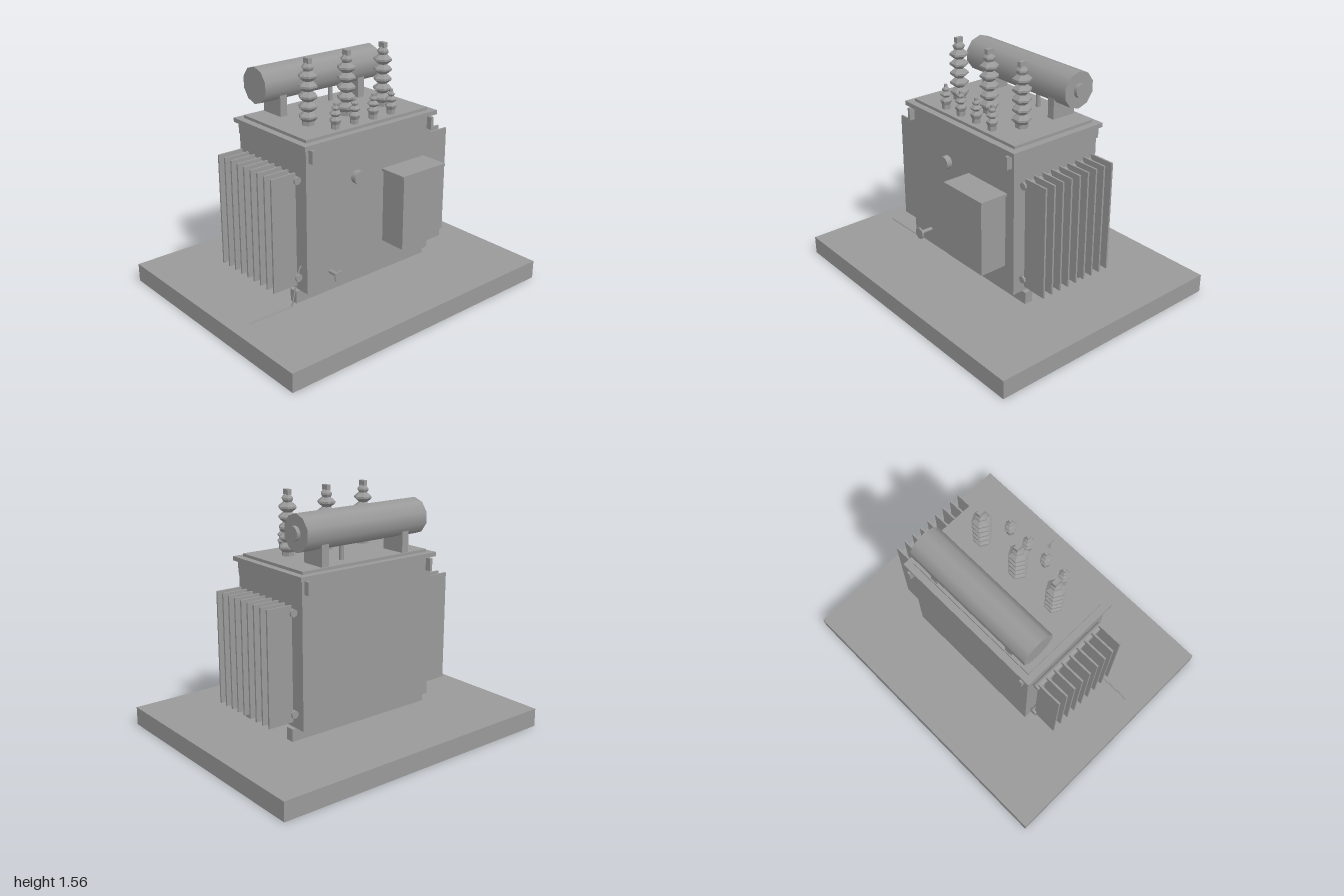
import * as THREE from 'three';

// Power transformer on a plinth with radiators, bushings and a conservator tank
export function createModel() {
  const model = new THREE.Group();
  const grey = new THREE.MeshStandardMaterial({ color: 0x999999 });
  grey.name = 'grey';
  const greyOpen = new THREE.MeshStandardMaterial({ color: 0x999999, side: THREE.DoubleSide });
  greyOpen.name = 'greyOpen';

  function add(name, geometry, x = 0, y = 0, z = 0, material = grey) {
    const mesh = new THREE.Mesh(geometry, material);
    mesh.name = name;
    mesh.position.set(x, y, z);
    model.add(mesh);
    return mesh;
  }
  // Box given by its extents on each axis
  function box(name, x0, x1, y0, y1, z0, z1) {
    const g = new THREE.BoxGeometry(x1 - x0, y1 - y0, z1 - z0);
    return add(name, g, (x0 + x1) / 2, (y0 + y1) / 2, (z0 + z1) / 2);
  }
  // Cylinder lying along x or z, or standing along y
  function rod(name, axis, r, length, x, y, z, sides) {
    const g = new THREE.CylinderGeometry(r, r, length, sides);
    if (axis === 'x') g.rotateY(Math.PI / 2).rotateZ(-Math.PI / 2);
    if (axis === 'z') g.rotateX(Math.PI / 2);
    return add(name, g, x, y, z);
  }
  // Six-sided faceted turning from [radius, height] pairs
  function turned(profile) {
    const points = profile.map(([r, y]) => new THREE.Vector2(r, y));
    const g = new THREE.LatheGeometry(points, 6, Math.PI / 2).toNonIndexed();
    g.computeVertexNormals();
    return g;
  }

  // Hollow plinth: four walls and a top, open underneath
  const slab = new THREE.BoxGeometry(2, 0.12, 1.64);
  const index = Array.from(slab.index.array);
  index.splice(18, 6);
  slab.setIndex(index);
  slab.clearGroups();
  add('plinth', slab, 0, 0.06, 0, greyOpen);

  // Skids, tank and lid
  for (const z of [-0.225, 0.225]) box('skid', -0.53, 0.53, 0.12, 0.2, z - 0.028, z + 0.028);
  box('tank', -0.5, 0.5, 0.2, 1.115, -0.323, 0.323);
  box('lidFlange', -0.525, 0.525, 1.115, 1.142, -0.347, 0.347);
  box('lidPlate', -0.48, 0.48, 1.142, 1.16, -0.303, 0.303);
  for (const sx of [-1, 1]) {
    for (const sz of [-1, 1]) {
      const lug = new THREE.BoxGeometry(0.02, 0.08, 0.04);
      add('liftingLug', lug, sx * 0.472, 1.07, sz * 0.34);
    }
  }

  // Radiators: nine fins and two header pipes on each side
  for (const s of [-1, 1]) {
    for (let i = -4; i <= 4; i++) {
      add('radiatorFin', new THREE.BoxGeometry(0.17, 0.715, 0.012), s * 0.617, 0.61, i * 0.065);
    }
    for (const y of [0.3, 0.92]) rod('radiatorHeader', 'z', 0.024, 0.56, s * 0.525, y, 0, 8);
  }

  // Control cabinet
  box('cabinet', 0.1, 0.425, 0.37, 0.84, 0.32, 0.502);
  box('cabinetRoof', 0.085, 0.44, 0.84, 0.856, 0.32, 0.511);

  // Gauge and drain valve
  rod('gauge', 'z', 0.042, 0.04, -0.12, 0.858, 0.34, 16);
  rod('valvePipe', 'z', 0.013, 0.1, -0.325, 0.298, 0.365, 8);
  rod('valveWheel', 'z', 0.039, 0.01, -0.325, 0.298, 0.415, 14);

  // Conservator with end cap, supports and feed pipe
  rod('conservator', 'x', 0.115, 0.916, -0.002, 1.362, -0.21, 10);
  rod('conservatorCap', 'x', 0.045, 0.025, 0.468, 1.362, -0.21, 10);
  for (const x of [-0.31, 0.31]) box('conservatorSupport', x - 0.025, x + 0.025, 1.16, 1.3, -0.295, -0.125);
  rod('feedPipe', 'y', 0.014, 0.13, 0.115, 1.225, -0.2, 8);

  // Tall bushings with stacked sheds and a terminal
  const tall = [[0, 0], [0.04, 0], [0.04, 0.025]];
  for (let i = 0; i < 5; i++) {
    const y = 0.052 + i * 0.061;
    tall.push([0.059, y - 0.006], [0.059, y + 0.006], [0.028, y + 0.03]);
  }
  tall.push([0.037, 0.342], [0.037, 0.352], [0.016, 0.375], [0, 0.375]);
  const tallBushing = turned(tall);
  for (const x of [-0.295, 0, 0.295]) {
    add('tallBushing', tallBushing, x, 1.16, 0.09);
    box('tallTerminal', x - 0.014, x + 0.014, 1.53, 1.562, 0.066, 0.114);
  }

  // Short bushings
  const shortBushing = turned([
    [0, 0], [0.026, 0], [0.026, 0.028], [0.036, 0.05], [0.036, 0.056], [0.018, 0.074],
    [0.036, 0.09], [0.036, 0.096], [0.016, 0.112], [0.023, 0.122], [0.023, 0.128],
    [0.011, 0.14], [0.011, 0.155], [0, 0.155],
  ]);
  for (const x of [-0.222, -0.075, 0.072, 0.219]) add('shortBushing', shortBushing, x, 1.16, 0.25);

  // Earthing cable from the tank side down to the plinth
  const cable = new THREE.CurvePath();
  const stops = [[-0.5, 0.37], [-0.515, 0.35], [-0.574, 0.121], [-0.88, 0.121]]
    .map(([x, y]) => new THREE.Vector3(x, y, 0.265));
  for (let i = 0; i < 3; i++) cable.add(new THREE.LineCurve3(stops[i], stops[i + 1]));
  add('earthCable', new THREE.TubeGeometry(cable, 60, 0.005, 6), 0, 0, 0, greyOpen);

  return model;
}
